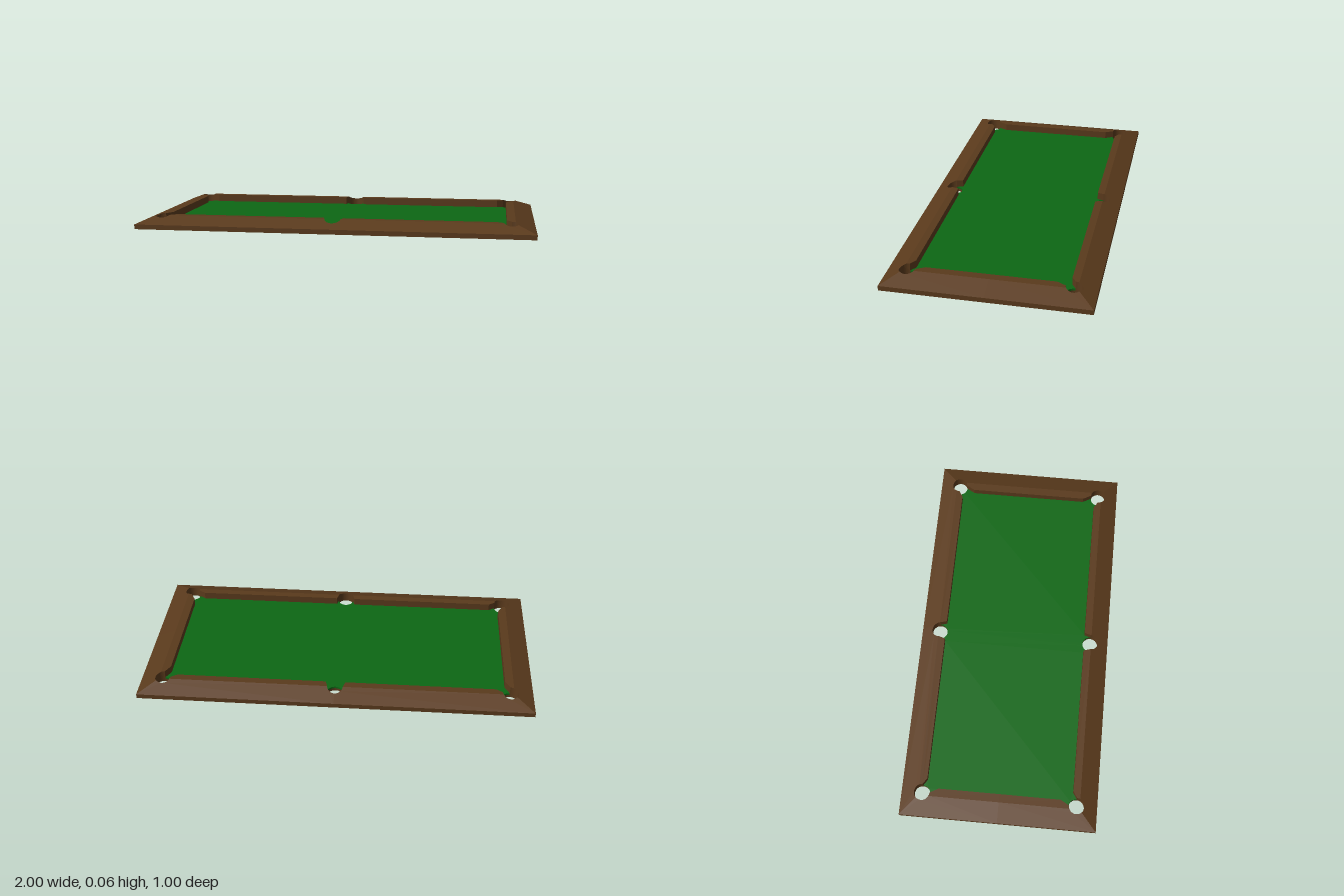
import * as THREE from 'three';

const WOOD = 0x5a3a1c, CLOTH = 0x0d6814;
const BASE = 0.014, BED = 0.024, TOP = 0.062;     // heights
const W = 1, D = 0.5, RX = 0.9, RZ = 0.41;        // outer half sizes, ridge lines
const IX = 0.858, IZ = 0.373;                     // cushion noses
const R = 0.04, CORNER = [0.882, 0.3938], SIDE = [0, 0.406];
const MITRE = Math.atan2(D - RZ, W - RX);

// Points along a pocket rim, angles in radians
function arc([cx, cz], a0, a1, n = 14) {
  return Array.from({ length: n + 1 }, (_, i) => {
    const a = a0 + (a1 - a0) * i / n;
    return new THREE.Vector2(cx + R * Math.cos(a), cz + R * Math.sin(a));
  });
}
const v = (x, z) => new THREE.Vector2(x, z);
const PI = Math.PI;

// Rail top: flat inside the ridge, sloping down to the outer edge
const railHeight = (x, z) => Math.min(TOP,
  BED + (TOP - BED) * (W - x) / (W - RX),
  BED + (TOP - BED) * (D - z) / (D - RZ));

// Keep the part of a ring where sign * (p[axis] - value) >= 0
function clip(ring, axis, value, sign) {
  const out = [];
  ring.forEach((p, i) => {
    const q = ring[(i + 1) % ring.length];
    const dp = sign * (p[axis] - value), dq = sign * (q[axis] - value);
    if (dp >= 0) out.push(p);
    if (dp * dq < 0) out.push(p.clone().lerp(q, dp / (dp - dq)));
  });
  return out;
}

// Half rails of one quarter of the table
const longRail = [v(0, D), v(W, D), ...arc(CORNER, MITRE, PI),
  v(0.81, IZ), v(0.05, IZ), ...arc(SIDE, 0, PI / 2)];
const shortRail = [v(W, 0), v(W, D), ...arc(CORNER, MITRE, -PI / 2),
  v(IX, 0.31), v(IX, 0)];

function railGeometry(ring, axis, ridge, sx, sz) {
  const pos = [];
  const put = (p, y) => pos.push(p.x, y, p.y);
  const top = p => railHeight(Math.abs(p.x), Math.abs(p.y));
  for (const sign of [-1, 1]) {
    const pts = clip(ring, axis, ridge, sign).map(p => v(p.x * sx, p.y * sz));
    if (THREE.ShapeUtils.isClockWise(pts)) pts.reverse();
    // top surface
    for (const [a, b, c] of THREE.ShapeUtils.triangulateShape(pts, []))
      for (const i of [a, c, b]) put(pts[i], top(pts[i]));
    // side walls, except along the ridge
    pts.forEach((a, i) => {
      const b = pts[(i + 1) % pts.length];
      const onRidge = p => Math.abs(Math.abs(p[axis]) - ridge) < 1e-6;
      if (onRidge(a) && onRidge(b)) return;
      put(a, top(a)); put(b, top(b)); put(b, BASE);
      put(a, top(a)); put(b, BASE); put(a, BASE);
    });
  }
  const g = new THREE.BufferGeometry();
  g.setAttribute('position', new THREE.Float32BufferAttribute(pos, 3));
  g.computeVertexNormals();
  return g;
}

// Horizontal slab from an outline
function slab(shape, y0, y1) {
  const g = new THREE.ExtrudeGeometry(shape, { depth: y1 - y0, bevelEnabled: false });
  return g.rotateX(-PI / 2).translate(0, y0, 0);
}

export function createModel() {
  const table = new THREE.Group();
  table.name = 'billiardTableTop';
  const wood = new THREE.MeshStandardMaterial({ color: WOOD });
  const cloth = new THREE.MeshStandardMaterial({ color: CLOTH });
  const add = (name, geometry, material) => {
    const mesh = new THREE.Mesh(geometry, material);
    mesh.name = name;
    table.add(mesh);
  };

  // Base board with six pocket holes
  const board = new THREE.Shape([v(-W, -D), v(W, -D), v(W, D), v(-W, D)]);
  for (const sz of [-1, 1])
    for (const [x, z] of [CORNER, SIDE, [-CORNER[0], CORNER[1]]])
      board.holes.push(new THREE.Path(arc([x, z * sz], 0, 2 * PI, 56).slice(0, -1)));
  add('baseBoard', slab(board, 0, BASE), wood);

  // Cloth bed, bitten by the pockets; one quarter mirrored round
  const quarter = [v(IX, 0.31), ...arc(CORNER, -PI / 2, -PI),
    v(0.81, IZ), v(0.05, IZ), ...arc(SIDE, 0, -PI / 2)];
  const mirror = (pts, sx, sz) => pts.map(p => v(p.x * sx, p.y * sz));
  const back = quarter.slice(0, -1).reverse();
  add('clothBed', slab(new THREE.Shape([
    ...quarter, ...mirror(back, -1, 1),
    ...mirror(quarter, -1, -1), ...mirror(back, 1, -1),
  ]), BASE, BED), cloth);

  // Rails, mirrored into the four quarters
  for (const sx of [-1, 1]) for (const sz of [-1, 1]) {
    const place = (sz > 0 ? 'Front' : 'Back') + (sx > 0 ? 'Left' : 'Right');
    add('longRail' + place, railGeometry(longRail, 'y', RZ, sx, sz), wood);
    add('shortRail' + place, railGeometry(shortRail, 'x', RX, sx, sz), wood);
  }
  return table;
}
